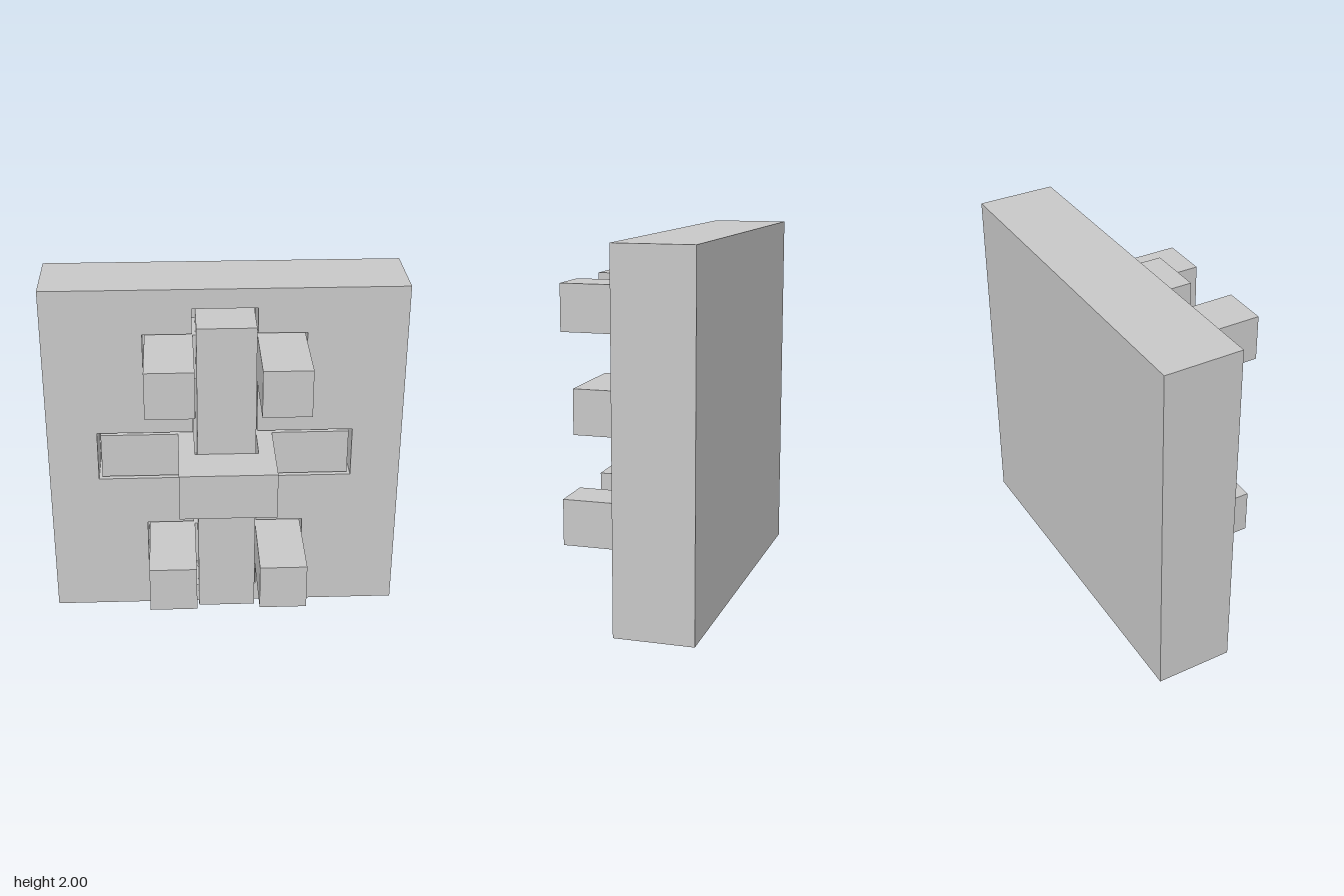
import * as THREE from 'three';

const grey = new THREE.MeshStandardMaterial({ color: 0xc8c8c8 });
grey.name = 'light grey';

// z of the slab face, recess floor, slab back, sunk faces and raised ends
const FACE = -0.025, FLOOR = -0.27, BACK = -0.458, SUNK = -0.03, FRONT = 0.458;

export function createModel() {
  const model = new THREE.Group();
  const add = (name, geometry) => {
    const mesh = new THREE.Mesh(geometry, grey);
    mesh.name = name;
    model.add(mesh);
    return mesh;
  };
  const box = (name, x0, x1, y0, y1, z0, z1) =>
    add(name, new THREE.BoxGeometry(x1 - x0, y1 - y0, z1 - z0))
      .position.set((x0 + x1) / 2, (y0 + y1) / 2, (z0 + z1) / 2);
  const outline = (pts) => pts.map(([x, y]) => new THREE.Vector2(x, y));

  // Bar across the slab, from an outline in x and z, mirrored about x = 0
  const crossPiece = (name, half, top) => {
    const shape = new THREE.Shape(outline([...half, ...half.map(([x, z]) => [-x, z]).reverse()]));
    const mesh = add(name, new THREE.ExtrudeGeometry(shape, { depth: 0.263, bevelEnabled: false }));
    mesh.rotation.x = Math.PI / 2; // profile y becomes z, depth runs downwards
    mesh.position.y = top;
  };

  // Slab front with a cross-shaped recess, mirrored about x = 0
  const half = [
    [0.18, 0.112], [0.18, 0.262], [0.45, 0.262], [0.45, 0.56], [0.18, 0.56],
    [0.18, 0.855], [0.72, 0.855], [0.72, 1.148], [0.18, 1.148],
    [0.18, 1.445], [0.45, 1.445], [0.45, 1.743], [0.18, 1.743], [0.18, 1.889],
  ];
  const mirrored = half.map(([x, y]) => [-x, y]).reverse();
  const slab = new THREE.Shape(outline([[-1, 0], [1, 0], [1, 2], [-1, 2]]));
  slab.holes.push(new THREE.Path(outline([...half, ...mirrored])));
  add('slabFront', new THREE.ExtrudeGeometry(slab, { depth: FACE - FLOOR, bevelEnabled: false }))
    .position.z = FLOOR;
  box('slabBack', -1, 1, 0, 2, BACK, FLOOR);

  // Upright bar in the middle
  box('uprightBar', -0.16, 0.16, 0.13, 1.872, FLOOR, 0.21);

  // Cross bar: sunk arms in the recess and a raised bridge over the upright
  crossPiece('crossBar', [
    [0.175, 0.213], [0.175, FLOOR], [0.7, FLOOR], [0.7, SUNK], [0.265, SUNK], [0.265, FRONT],
  ], 1.132);

  // Forked bars: two pegs beside the upright, joined behind it
  for (const top of [0.542, 1.737]) {
    crossPiece('forkedBar', [
      [0.437, FLOOR], [0.437, FRONT], [0.175, FRONT], [0.175, SUNK],
    ], top);
  }
  return model;
}
